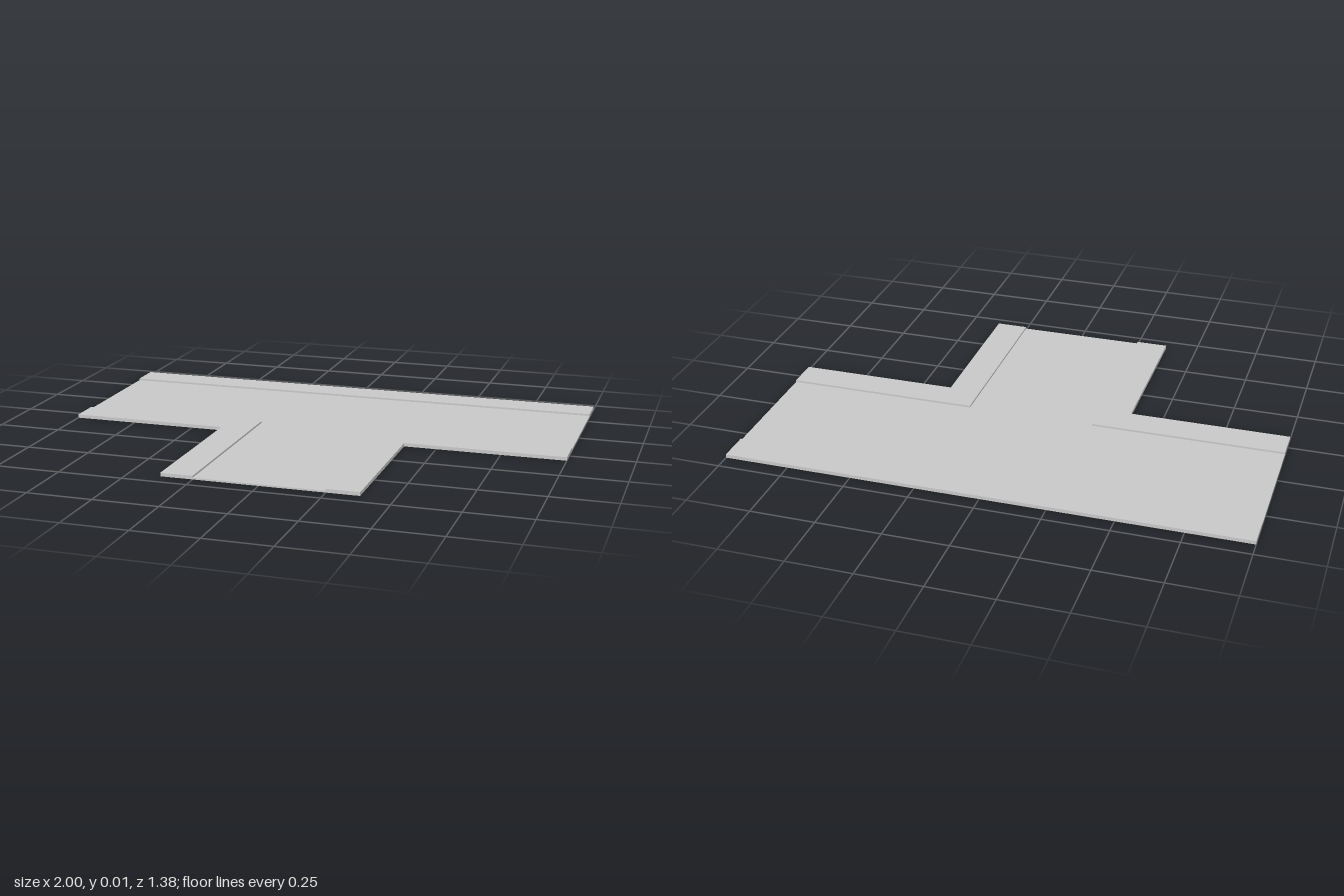
import * as THREE from 'three';

const material = new THREE.MeshStandardMaterial({ color: 0xcccccc, flatShading: true });

// Flat slab from a plan outline of [x, z] points, standing on y = 0
function slab(name, points, height) {
  const shape = new THREE.Shape(points.map(([x, z]) => new THREE.Vector2(x, -z)));
  const geometry = new THREE.ExtrudeGeometry(shape, { depth: height, bevelEnabled: false });
  geometry.rotateX(-Math.PI / 2);
  const mesh = new THREE.Mesh(geometry, material);
  mesh.name = name;
  return mesh;
}

export function createModel() {
  const group = new THREE.Group();
  group.name = 'roadJunction';

  const end = 0.6875;       // front and back limits in z
  const roadHeight = 0.00625;
  const curbHeight = 0.0135;

  // T-shaped roadway
  group.add(slab('roadway', [
    [-1, -0.5625], [1, -0.5625], [1, -0.0625], [0.25, -0.0625],
    [0.25, end], [-0.25, end], [-0.25, -0.0625], [-1, -0.0625],
  ], roadHeight));

  // Straight pavement along the back
  group.add(slab('backPavement', [
    [-1, -end], [1, -end], [1, -0.5625], [-1, -0.5625],
  ], curbHeight));

  // L-shaped corner pavements, mirrored
  for (const [name, s] of [['leftCornerPavement', 1], ['rightCornerPavement', -1]]) {
    group.add(slab(name, [
      [s, -0.0625], [s, 0.0625], [s * 0.375, 0.0625],
      [s * 0.375, end], [s * 0.25, end], [s * 0.25, -0.0625],
    ], curbHeight));
  }

  return group;
}
